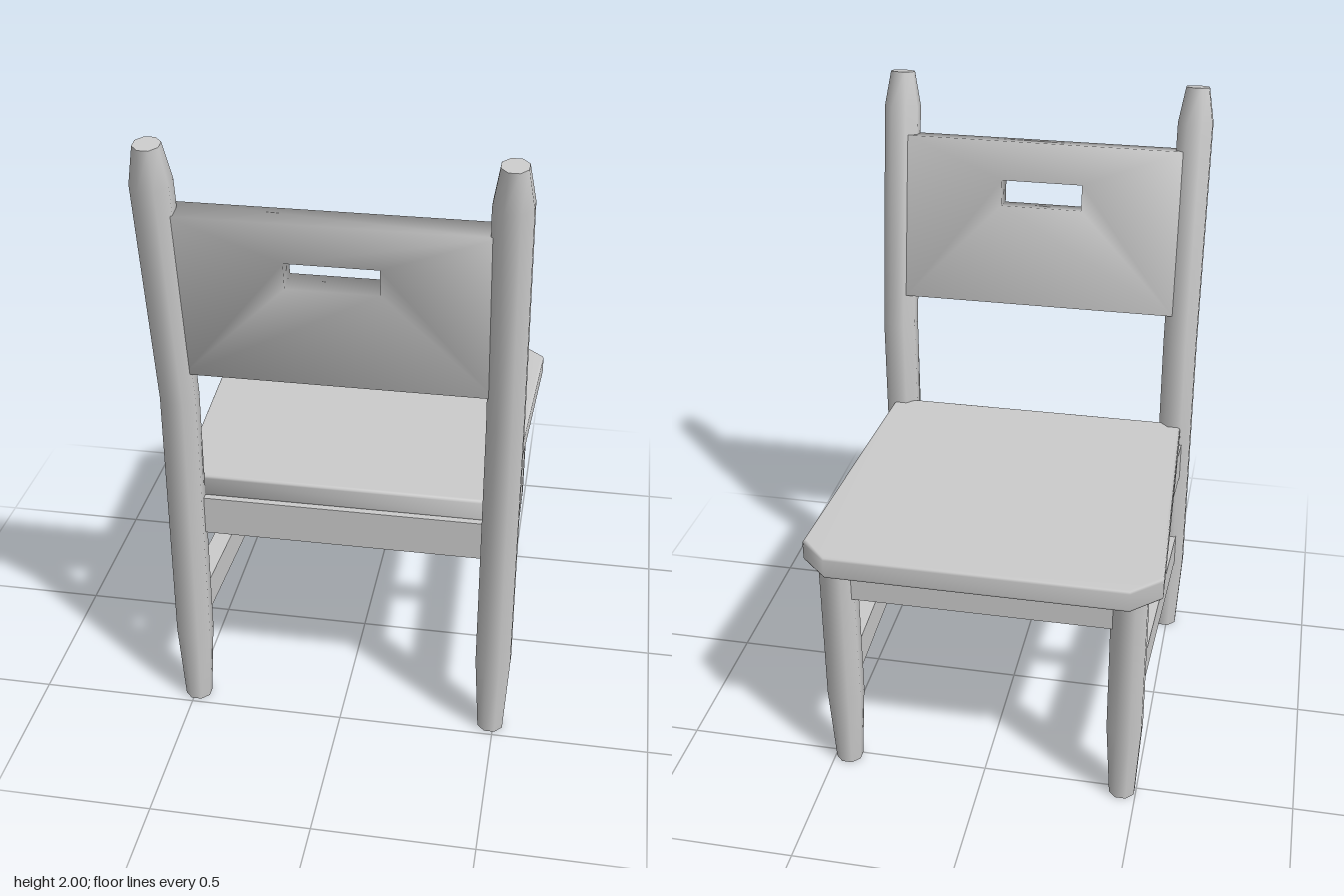
import * as THREE from 'three';
import { mergeVertices, toCreasedNormals } from 'three/addons/utils/BufferGeometryUtils.js';

const material = new THREE.MeshStandardMaterial({ color: 0xcccccc });

function add(group, name, geometry) {
  const mesh = new THREE.Mesh(geometry, material);
  mesh.name = name;
  group.add(mesh);
  return mesh;
}

// Octagonal bar through stacked rings [y, z, halfWidth, tilt], capped at both ends
function octagonBar(x, rings) {
  const n = 8, pos = [], idx = [];
  for (const [y, z, half, tilt = 0] of rings) {
    const r = half / Math.cos(Math.PI / n);
    for (let i = 0; i < n; i++) {
      const a = ((i + 0.5) / n) * Math.PI * 2;
      const dz = r * Math.sin(a);
      pos.push(x + r * Math.cos(a), y - dz * tilt, z + dz);
    }
  }
  for (let k = 0; k < rings.length - 1; k++) {
    for (let i = 0; i < n; i++) {
      const a = k * n + i, b = k * n + (i + 1) % n;
      idx.push(a, a + n, b, b, a + n, b + n);
    }
  }
  const top = (rings.length - 1) * n;
  for (let i = 1; i < n - 1; i++) {
    idx.push(0, i, i + 1, top, top + i + 1, top + i);
  }
  const g = new THREE.BufferGeometry();
  g.setAttribute('position', new THREE.Float32BufferAttribute(pos, 3));
  g.setIndex(idx);
  return toCreasedNormals(g, 0.9);
}

// Soft shading across shared corners
function soften(geometry) {
  geometry.deleteAttribute('normal');
  geometry.deleteAttribute('uv');
  const g = mergeVertices(geometry, 1e-4);
  g.computeVertexNormals();
  return g;
}

// Flat rail between two points on the same level
function rail(group, name, from, to, y0, y1, thickness) {
  const dx = to[0] - from[0], dz = to[1] - from[1];
  const mesh = add(group, name, new THREE.BoxGeometry(thickness, y1 - y0, Math.hypot(dx, dz)));
  mesh.position.set((from[0] + to[0]) / 2, (y0 + y1) / 2, (from[1] + to[1]) / 2);
  mesh.rotation.y = Math.atan2(dx, dz);
}

export function createModel() {
  const chair = new THREE.Group();
  chair.name = 'chair';
  const backX = 0.49, backZ = 0.445, legX = 0.455, legZ = -0.515, lean = 0.175;

  for (const [side, s] of [['left', 1], ['right', -1]]) {
    // Back posts: tapered foot, bend above the seat, chamfered tip
    add(chair, side + 'BackPost', octagonBar(s * backX, [
      [0, backZ, 0.04], [0.27, backZ, 0.055], [1.145, backZ, 0.055, lean / 2],
      [1.88, 0.573, 0.056, lean], [1.993, 0.59, 0.037, lean],
    ]));
    // Short legs
    add(chair, side + 'Leg', octagonBar(s * legX, [
      [0, legZ, 0.04], [0.27, legZ, 0.055], [0.78, legZ, 0.055],
    ]));
    // Side rails follow the splay from post to leg
    const from = [s * backX, backZ], to = [s * legX, legZ];
    rail(chair, side + 'Apron', from, to, 0.652, 0.78, 0.06);
    rail(chair, side + 'Stretcher', from, to, 0.29, 0.402, 0.06);
  }

  // Cross rails
  rail(chair, 'backApron', [-backX, 0.42], [backX, 0.42], 0.652, 0.78, 0.05);
  rail(chair, 'frontApron', [-legX, legZ], [legX, legZ], 0.652, 0.78, 0.06);
  rail(chair, 'crossStretcher', [-0.45, -0.035], [0.45, -0.035], 0.33, 0.37, 0.06);

  // Seat: tapered slab with two cut corners, drawn in (x, -z) and laid flat
  const bevel = 0.01;
  const outline = [[0.51, 0.425], [0.555, -0.54], [0.465, -0.625]];
  const corners = [...outline, ...outline.map(([x, z]) => [-x, z]).reverse()];
  const seatShape = new THREE.Shape(corners.map(([x, z]) => new THREE.Vector2(x, -z)));
  const seatGeometry = new THREE.ExtrudeGeometry(seatShape, {
    depth: 0.075 - 2 * bevel, bevelEnabled: true, bevelSize: bevel,
    bevelOffset: -bevel, bevelThickness: bevel, bevelSegments: 2,
  });
  const seat = add(chair, 'seat', soften(seatGeometry));
  seat.rotation.x = -Math.PI / 2;
  seat.position.y = 0.775 + bevel;

  // Backrest: leaning panel with a hand slot
  const w = 0.46, h = 0.275, t = 0.078;
  const panel = new THREE.Shape([[-w, -h], [w, -h], [w, h], [-w, h]].map((p) => new THREE.Vector2(...p)));
  panel.holes.push(new THREE.Path(
    [[-0.135, 0.06], [-0.135, 0.145], [0.135, 0.145], [0.135, 0.06]].map((p) => new THREE.Vector2(...p))));
  const panelGeometry = new THREE.ExtrudeGeometry(panel, { depth: t, bevelEnabled: false });
  panelGeometry.translate(0, 0, -t / 2);
  const backrest = add(chair, 'backrest', soften(panelGeometry));
  backrest.rotation.x = Math.atan(lean);
  backrest.position.set(0, 1.522, 0.5);

  return chair;
}
